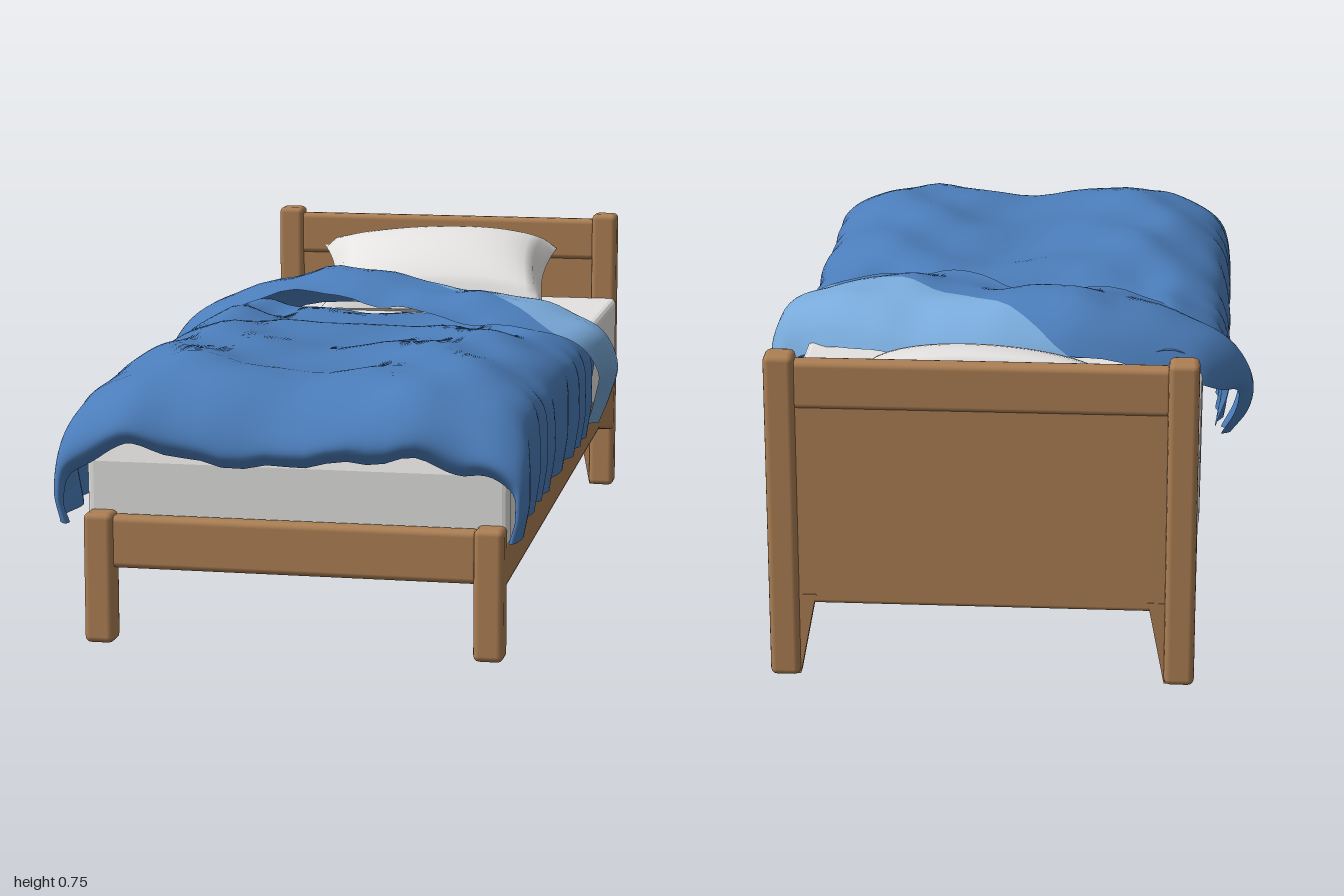
import * as THREE from 'three';
import { RoundedBoxGeometry } from 'three/addons/geometries/RoundedBoxGeometry.js';

const { lerp, clamp, smoothstep } = THREE.MathUtils;
const paint = (name, color, side = THREE.FrontSide) => {
  const m = new THREE.MeshStandardMaterial({ color, side });
  m.name = name;
  return m;
};
const curve = (pts) => new THREE.CatmullRomCurve3(pts.map((p) => new THREE.Vector3(...p)));

// Grid surface; fn(u, v) returns [x, y, z], faces up when u runs to +x and v to +z
function sheet(nu, nv, fn) {
  const pos = [], idx = [];
  for (let i = 0; i <= nu; i++) for (let j = 0; j <= nv; j++) pos.push(...fn(i / nu, j / nv));
  for (let i = 0; i < nu; i++) for (let j = 0; j < nv; j++) {
    const a = i * (nv + 1) + j, b = a + nv + 1;
    idx.push(a, a + 1, b, b, a + 1, b + 1);
  }
  const g = new THREE.BufferGeometry();
  g.setAttribute('position', new THREE.Float32BufferAttribute(pos, 3));
  g.setIndex(idx);
  g.computeVertexNormals();
  return g;
}

// Side profile of [z, y] points, extruded from x0 to x1 with a bevel
function sideProfile(pts, x0, x1, bevel) {
  const shape = new THREE.Shape(pts.map(([z, y]) => new THREE.Vector2(-z, y)));
  const g = new THREE.ExtrudeGeometry(shape, {
    depth: x1 - x0 - 2 * bevel, bevelThickness: bevel, bevelSize: bevel, bevelOffset: -bevel, bevelSegments: 3,
  });
  return g.rotateY(Math.PI / 2).translate(x0 + bevel, 0, 0);
}

// Soft wrinkles in the cloth
const wrinkle = (x, z) =>
  0.009 * Math.sin(9 * x + 7 * z + 2 * Math.sin(5 * z)) +
  0.007 * Math.sin(17 * z - 8 * x + 1.5 * Math.sin(11 * x)) +
  0.003 * Math.sin(31 * x + 13 * z);

export function createModel() {
  const wood = paint('wood', 0xac7f54);
  const linen = paint('linen', 0xe4e3e1);
  const blue = paint('blueCloth', 0x4b7dba, THREE.DoubleSide);
  const lightBlue = paint('lightBlueLining', 0x78a9d9, THREE.DoubleSide);
  const grey = paint('greyBase', 0x9c9c9c);

  const bed = new THREE.Group();
  bed.name = 'bed';
  const add = (name, geometry, material) => {
    const m = new THREE.Mesh(geometry, material);
    m.name = name;
    bed.add(m);
    return m;
  };
  const box = (name, x0, x1, y0, y1, z0, z1, r, material = wood) => {
    const m = add(name, new RoundedBoxGeometry(x1 - x0, y1 - y0, z1 - z0, 2, r), material);
    m.position.set((x0 + x1) / 2, (y0 + y1) / 2, (z0 + z1) / 2);
    return m;
  };

  // Posts, rails and leg braces, mirrored about x = 0.01
  const cx = 0.01;
  const rail = [[0.95, 0.155], [-0.65, 0.21], [-0.95, 0.155], [-0.95, 0.36], [-0.6, 0.315], [-0.3, 0.299], [0.95, 0.252]];
  for (const s of [-1, 1]) {
    const side = s > 0 ? 'left' : 'right';
    const span = (a, b) => [cx + s * a, cx + s * b].sort((p, q) => p - q);
    box(side + 'HeadPost', ...span(0.4, 0.466), 0, 0.745, -1, -0.935, 0.014);
    box(side + 'FootPost', ...span(0.4, 0.466), 0, 0.292, 0.92, 0.985, 0.014);
    add(side + 'SideRail', sideProfile(rail, ...span(0.415, 0.466), 0.012), wood);
    const brace = new THREE.Shape([[0.41, 0], [0.41, 0.19], [0.362, 0.19], [0.368, 0.165], [0.4, 0]]
      .map(([x, y]) => new THREE.Vector2(cx + s * x, y)));
    add(side + 'LegBrace', new THREE.ExtrudeGeometry(brace, { depth: 0.03, bevelEnabled: false })
      .translate(0, 0, -0.985), wood);
  }
  box('footRail', -0.4, 0.42, 0.168, 0.285, 0.925, 0.972, 0.014);
  box('headPanel', -0.4, 0.42, 0.168, 0.66, -0.983, -0.952, 0.01);
  box('headTopRail', -0.4, 0.42, 0.62, 0.73, -0.987, -0.945, 0.014);

  // Underside panel, tilted along the rails
  box('basePanel', -0.415, 0.435, 0.2, 0.22, -0.95, 0.94, 0.004, grey).rotation.x = 0.026;

  // Mattress resting on the sloping rails
  add('mattress', sideProfile([[-0.935, 0.35], [-0.6, 0.308], [-0.3, 0.292], [0.93, 0.246], [0.935, 0.4],
    [0.92, 0.45], [0.86, 0.495], [0.7, 0.512], [-0.2, 0.518], [-0.935, 0.518]], -0.46, 0.48, 0.016), linen);

  // Pillow: two bulging faces over a tilted plane
  const pillowFace = (sgn) => sheet(24, 18, (u, v) => {
    const a = 2 * u - 1, b = 2 * v - 1;
    const fill = Math.pow(Math.max(0, (1 - a * a) * (1 - b * b)), 0.36);
    const left = lerp(-0.325, -0.255, v) + 0.035 * (1 - b * b);
    const right = lerp(0.315, 0.34, v) - 0.025 * (1 - b * b);
    const z = lerp(lerp(-0.915, -0.94, u), lerp(-0.54, -0.57, u), v) - 0.02 * b * (1 - a * a);
    const plane = lerp(0.65, 0.528, v);
    const lean = (sgn > 0 ? 1 : -1) * 0.015 * a;
    const y = plane + (sgn > 0 ? 0.105 + lean : -0.1) * fill;
    return [lerp(left, right, sgn > 0 ? u : 1 - u), Math.max(y, 0.516), z];
  });
  add('pillowTop', pillowFace(1), linen);
  add('pillowUnderside', pillowFace(-1), linen);

  // Folded back end of the duvet: stations of x, crest height, head edge z and hem z
  const stations = [
    [-0.53, 0.3, -0.22, -0.17], [-0.57, 0.36, -0.24, -0.16], [-0.58, 0.43, -0.27, -0.15], [-0.53, 0.53, -0.35, -0.13],
    [-0.42, 0.605, -0.42, -0.12], [-0.2, 0.665, -0.44, -0.13], [0, 0.652, -0.43, -0.07],
    [0.15, 0.64, -0.39, 0.05], [0.3, 0.632, -0.34, 0.07], [0.45, 0.605, -0.27, 0.05],
    [0.55, 0.555, -0.22, 0.02], [0.58, 0.47, -0.22, -0.05], [0.56, 0.39, -0.21, -0.12], [0.53, 0.315, -0.2, -0.17],
  ];
  const headEdge = curve(stations.map(([x, y, z]) => [x, y, z]));
  const hem = curve(stations.map(([x, y, , z]) => [x, y, z]));

  // Duvet: draped cross-section, falling over the foot end
  const section = curve([[-0.495, 0.295, 0], [-0.51, 0.41, 0], [-0.495, 0.515, 0], [-0.42, 0.57, 0], [-0.3, 0.602, 0],
    [0, 0.588, 0], [0.28, 0.605, 0], [0.42, 0.575, 0], [0.505, 0.515, 0], [0.51, 0.41, 0], [0.495, 0.295, 0]]);
  const footDrop = curve([[0, 0, 0.75], [0, 0.015, 0.85], [0, 0.05, 0.93], [0, 0.1, 0.98], [0, 0.14, 0.995], [0, 0.172, 0.975]]);
  add('duvet', sheet(64, 90, (u, v) => {
    const p = section.getPoint(u), ax = Math.abs(p.x);
    const start = Math.min(headEdge.getPoint(u).z + 0.03 + 0.15 * Math.max(0, 0.5 - p.y), -0.16);
    const hang = smoothstep(ax, 0.38, 0.5) * clamp((0.58 - p.y) / 0.2, 0, 1);
    let z, drop = 0;
    if (v < 0.75) z = lerp(start, 0.75, v / 0.75);
    else {
      const f = footDrop.getPoint((v - 0.75) / 0.25);
      z = f.z;
      drop = f.y + (0.012 * Math.sin(13 * p.x + 4) + 0.007 * Math.sin(37 * p.x)) * smoothstep(v, 0.85, 1);
    }
    // tucked under the fold near the head, gathered in waves along the sides
    const tuck = 0.05 * (1 - smoothstep(z, -0.1, 0.22)) * (1 - smoothstep(ax, 0.28, 0.4));
    const wave = 0.018 * (0.4 + 0.6 * Math.sin(40 * z + 2 * Math.sin(9 * z))) * hang;
    const fall = drop * clamp((p.y - 0.28) / 0.3, 0, 1);
    const y = p.y - tuck - fall + wrinkle(p.x, z) * (1 - 0.7 * hang) - 0.02 * smoothstep(z, 0.7, 0.95) * hang;
    const pull = 1 - 0.04 * smoothstep(v, 0.9, 1);
    return [(p.x + Math.sign(p.x) * wave) * pull, y, z + 0.006 * Math.sin(30 * p.x) * smoothstep(v, 0.85, 1)];
  }), blue);

  // Fold is split along a diagonal into lining and cover colours; its edges curl in to meet the duvet
  const foldPoint = (u, t) => {
    const a = headEdge.getPoint(u), b = hem.getPoint(u);
    const arch = Math.pow(Math.sin(Math.PI * Math.min(t * 1.25, 0.5)), 0.7);
    const flat = smoothstep(a.y, 0.4, 0.6);
    const curl = smoothstep(t, 0.55, 1);
    const drop = (0.1 * (1 - arch) + 0.035 * curl) * flat;
    const inward = 1 - (0.06 * curl + 0.06 * (1 - arch)) * smoothstep(Math.abs(a.x), 0.42, 0.58);
    const z = lerp(a.z, b.z, t);
    return [a.x * inward, a.y - drop + 0.7 * wrinkle(a.x * 1.3, z) * flat, z];
  };
  const split = (u) => {
    const a = headEdge.getPoint(u), b = hem.getPoint(u);
    if (u > 0.75) return 1;
    const diagonal = -0.44 + (a.x + 0.13) * 0.82;
    return clamp((diagonal - a.z) / (b.z - a.z), 0, 1);
  };
  add('foldLining', sheet(72, 16, (u, v) => foldPoint(u, v * split(u))), lightBlue);
  add('foldCover', sheet(72, 16, (u, v) => foldPoint(u, lerp(split(u), 1, v))), blue);

  return bed;
}
